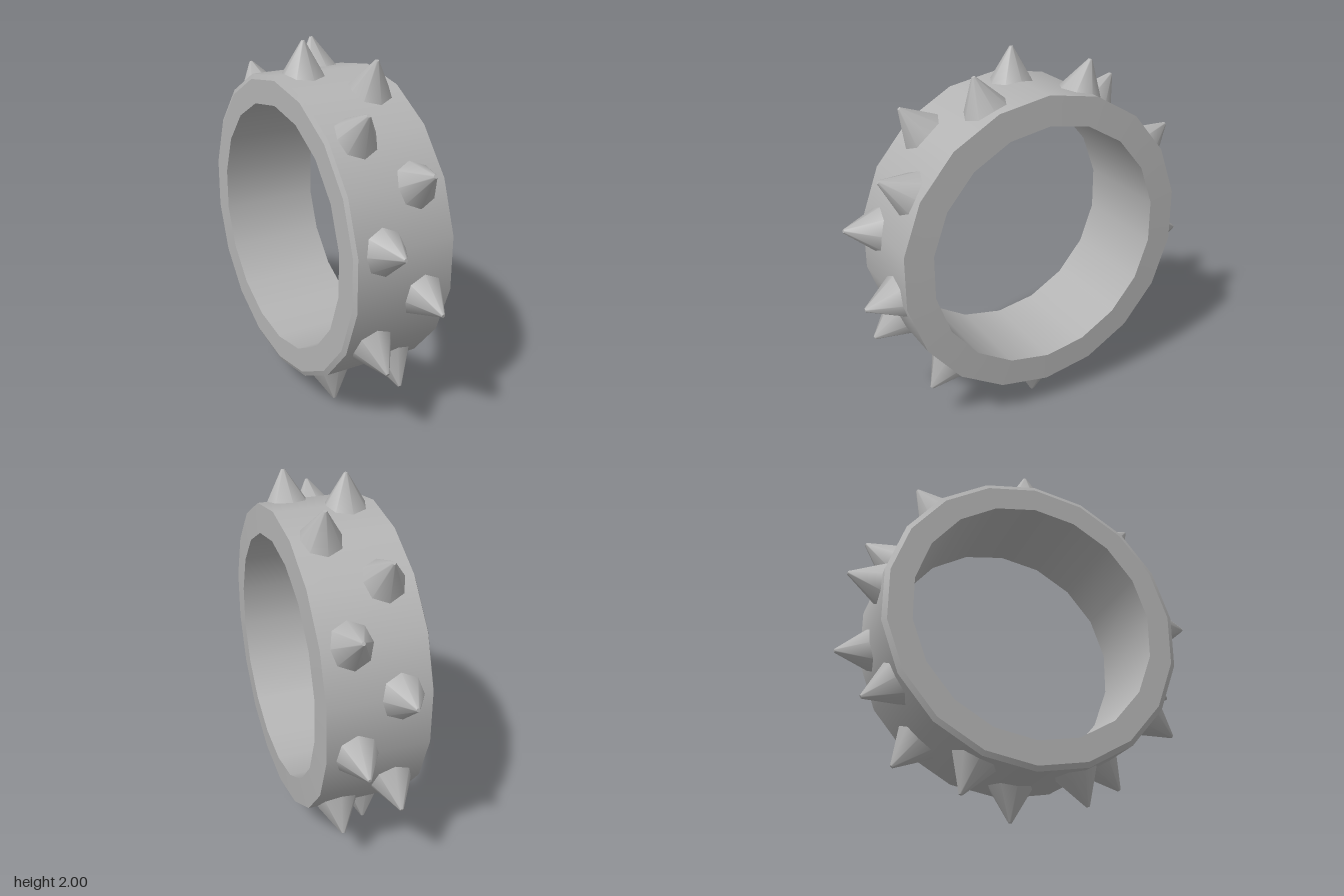
import * as THREE from 'three';

const SIDES = 18;
const CENTRE_Y = 1.0;

export function createModel() {
  const model = new THREE.Group();
  model.name = 'spikedRing';

  const metal = new THREE.MeshStandardMaterial({ color: 0xb4b4b4 });
  metal.name = 'grey metal';

  // Band: one lathed strip per surface keeps the rims sharp; points are [radius, x]
  const band = new THREE.Group();
  band.name = 'band';
  const strips = {
    outerBand: [[0.835, -0.272], [0.835, 0.272]],
    rightRim: [[0.835, 0.272], [0.677, 0.28]],
    innerBand: [[0.677, 0.28], [0.677, -0.285]],
    leftRim: [[0.677, -0.285], [0.808, -0.285]],
    leftBevel: [[0.808, -0.285], [0.835, -0.272]],
  };
  for (const [name, points] of Object.entries(strips)) {
    const profile = points.map(([r, x]) => new THREE.Vector2(r, x));
    const geometry = new THREE.LatheGeometry(profile, SIDES, Math.PI / 2);
    geometry.rotateZ(-Math.PI / 2);
    const mesh = new THREE.Mesh(geometry, metal);
    mesh.name = name;
    band.add(mesh);
  }
  band.position.y = CENTRE_Y + 0.003;
  model.add(band);

  // Spikes: blunt eight-sided cones, alternating between two rows
  const spikes = new THREE.Group();
  spikes.name = 'spikes';
  const cone = new THREE.CylinderGeometry(0.01, 0.142, 0.22, 8);
  cone.translate(0, 0.89, 0);
  for (let i = 0; i < SIDES; i++) {
    const spike = new THREE.Mesh(cone, metal);
    spike.name = 'spike';
    spike.position.x = i % 2 ? 0.113 : -0.117;
    spike.rotation.x = (i / SIDES) * Math.PI * 2;
    spikes.add(spike);
  }
  spikes.position.y = CENTRE_Y;
  model.add(spikes);

  return model;
}
